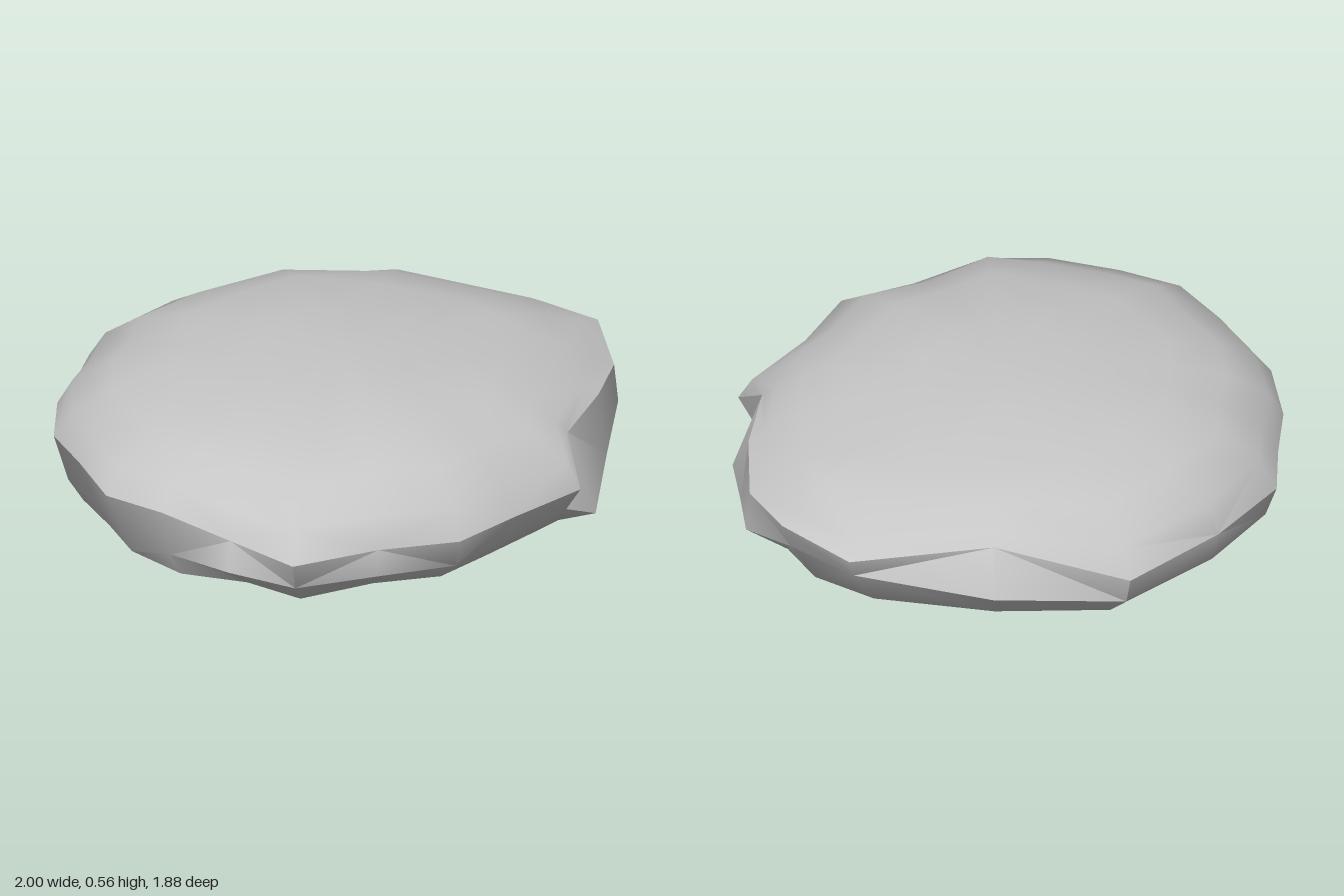
import * as THREE from 'three';
import { toCreasedNormals } from 'three/addons/utils/BufferGeometryUtils.js';

// Outline of the boulder: x, z, then height and scale of the lower and upper edge of its side
const RIM = [
  [1.0, -0.06, 0.27, 0.96, 0.37, 1], [0.94, 0.2, 0.2, 1, 0.34, 0.985],
  [0.78, 0.42, 0.14, 1, 0.37, 0.97], [0.61, 0.68, 0.08, 0.99, 0.37, 0.88],
  [0.49, 0.78, 0.16, 0.94, 0.25, 1], [0.2, 0.85, 0.15, 0.95, 0.25, 1],
  [-0.05, 0.935, 0.15, 0.96, 0.26, 1], [-0.32, 0.86, 0.15, 0.98, 0.26, 1],
  [-0.63, 0.83, 0.15, 0.95, 0.26, 1], [-0.78, 0.65, 0.19, 1, 0.3, 0.98],
  [-0.9, 0.4, 0.15, 0.95, 0.33, 1], [-1.0, 0.19, 0.2, 0.95, 0.32, 1],
  [-0.97, -0.06, 0.15, 0.93, 0.32, 1], [-0.94, -0.3, 0.13, 0.95, 0.3, 1],
  [-0.81, -0.52, 0.14, 0.95, 0.29, 1], [-0.67, -0.66, 0.14, 0.95, 0.27, 1],
  [-0.53, -0.82, 0.15, 0.96, 0.26, 1], [-0.2, -0.91, 0.15, 0.97, 0.26, 1],
  [0.21, -0.94, 0.16, 0.97, 0.26, 1], [0.6, -0.69, 0.22, 1, 0.39, 0.93],
  [0.93, -0.33, 0.26, 0.97, 0.33, 1],
];

// Cross-section: scale of the outline, and share of the way to the lower edge / to the crown
const LOWER = [[0.68, 0], [0.84, 0.36]];
const UPPER = [[0.94, 0.34], [0.8, 0.65], [0.61, 0.87], [0.3, 0.99]];
const TOP = 0.555;

function boulderGeometry() {
  const n = RIM.length, pos = [], index = [];
  // Small uneven bulges keep the loops from looking turned on a lathe
  const bump = (i, j) => 0.008 * Math.sin(i * 2.4 + j * 1.7);

  // Undercut
  LOWER.forEach(([s, g], j) => RIM.forEach(([x, z, lo], i) => {
    const steep = x < -0.85 && g > 0 ? 0.05 : 0;
    const k = s + steep + bump(i, j);
    pos.push(x * k, lo * g, z * k);
  }));
  // Side band
  RIM.forEach(([x, z, lo, k]) => pos.push(x * k, lo, z * k));
  RIM.forEach(([x, z, , , hi, k]) => pos.push(x * k, hi, z * k));
  // Rounded upper part
  UPPER.forEach(([s, f], j) => RIM.forEach(([x, z, , , hi, rim], i) => {
    const k = s * (1 + (rim - 1) * s) + bump(i, j + 3);
    const droop = 0.035 * Math.max(0, x * s) * (1 + f);
    pos.push(x * k, hi + (TOP - hi) * f - droop, z * k);
  }));

  const rings = LOWER.length + 2 + UPPER.length;
  for (let j = 0; j < rings - 1; j++) {
    for (let i = 0; i < n; i++) {
      const a = j * n + i, b = j * n + (i + 1) % n, c = a + n, d = b + n;
      // Alternate the diagonals for irregular facets
      if ((i + j) % 2) index.push(a, c, b, b, c, d);
      else index.push(a, c, d, a, d, b);
    }
  }

  // Flat underside and gently domed top
  const under = rings * n, crown = under + 1, last = (rings - 1) * n;
  pos.push(0, 0, 0, 0, TOP, 0);
  for (let i = 0; i < n; i++) {
    const k = (i + 1) % n;
    index.push(under, i, k, crown, last + k, last + i);
  }

  const geometry = new THREE.BufferGeometry();
  geometry.setAttribute('position', new THREE.Float32BufferAttribute(pos, 3));
  geometry.setIndex(index);
  return toCreasedNormals(geometry, 0.72);
}

export function createModel() {
  const model = new THREE.Group();
  model.name = 'rock';
  const stone = new THREE.MeshStandardMaterial({ color: 0xc6c6c6 });
  stone.name = 'stone grey';
  const boulder = new THREE.Mesh(boulderGeometry(), stone);
  boulder.name = 'boulder';
  model.add(boulder);
  return model;
}
